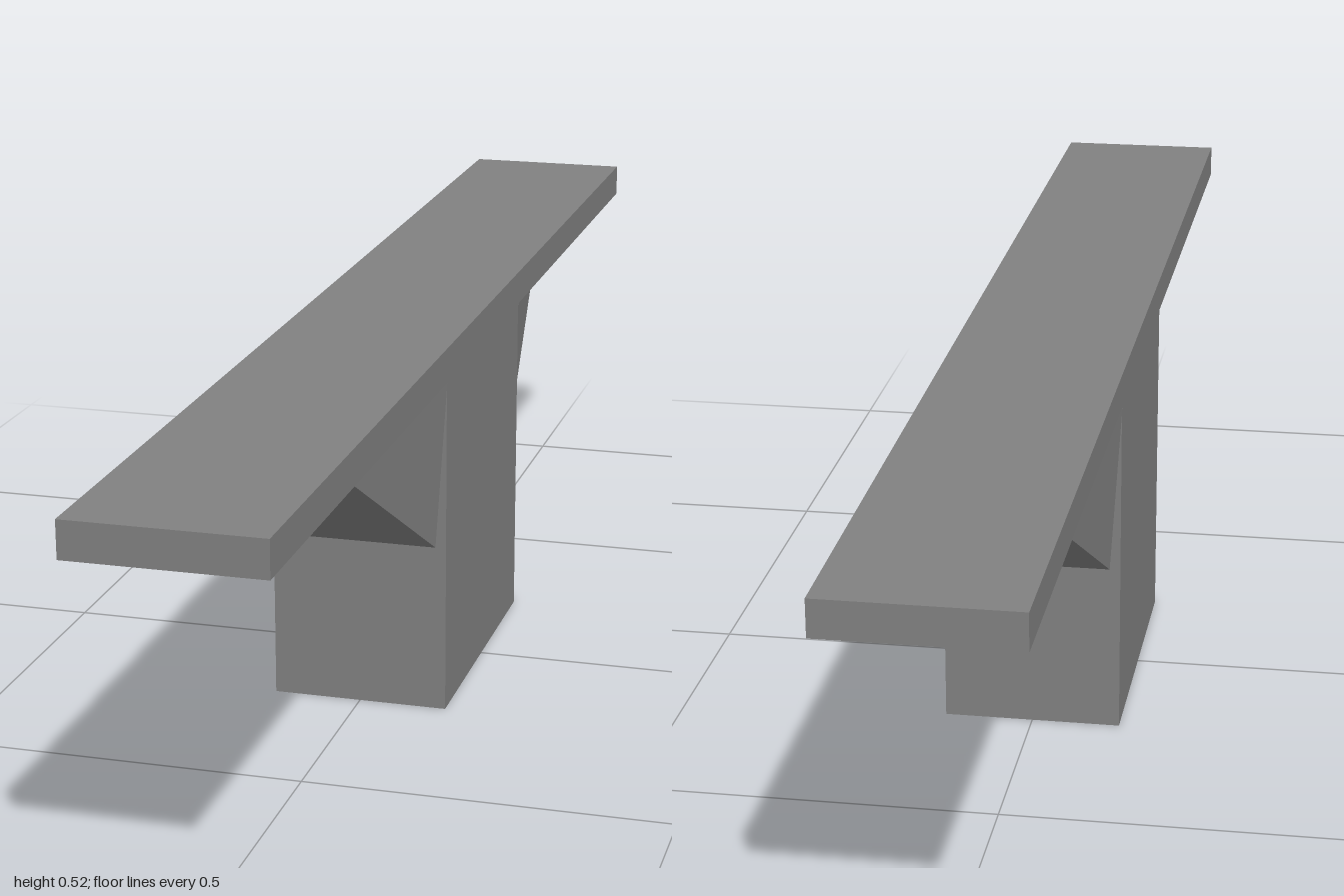
import * as THREE from 'three';

export function createModel() {
  const group = new THREE.Group();
  const concrete = new THREE.MeshStandardMaterial({ color: 0x808080 });
  concrete.name = 'concrete grey';

  const add = (geometry, name, y = 0) => {
    const mesh = new THREE.Mesh(geometry, concrete);
    mesh.name = name;
    mesh.position.y = y;
    group.add(mesh);
    return mesh;
  };

  // Long flat deck on a central pier
  add(new THREE.BoxGeometry(0.248, 0.048, 2), 'deck', 0.5);
  add(new THREE.BoxGeometry(0.248, 0.476, 0.434), 'pier', 0.238);

  // Tapering wedge: wide against the pier, narrow at its tip under the deck
  const bracket = () => {
    const foot = [0.109, 0.239, 0.217];
    const root = [0.1245, 0.476, 0.217];
    const tip = [0.069, 0.476, 0.6];
    const mirror = ([x, y, z]) => [-x, y, z];
    const [footR, rootR, tipR] = [foot, root, tip].map(mirror);
    const triangles = [
      foot, root, tip, // left side
      footR, tipR, rootR, // right side
      footR, foot, tip, footR, tip, tipR, // sloping underside
      rootR, tipR, tip, rootR, tip, root, // top
      foot, footR, rootR, foot, rootR, root, // face against the pier
    ];
    const geometry = new THREE.BufferGeometry();
    geometry.setAttribute('position', new THREE.Float32BufferAttribute(triangles.flat(), 3));
    geometry.computeVertexNormals();
    return geometry;
  };
  add(bracket(), 'frontBracket');
  add(bracket(), 'backBracket').rotation.y = Math.PI;

  return group;
}
